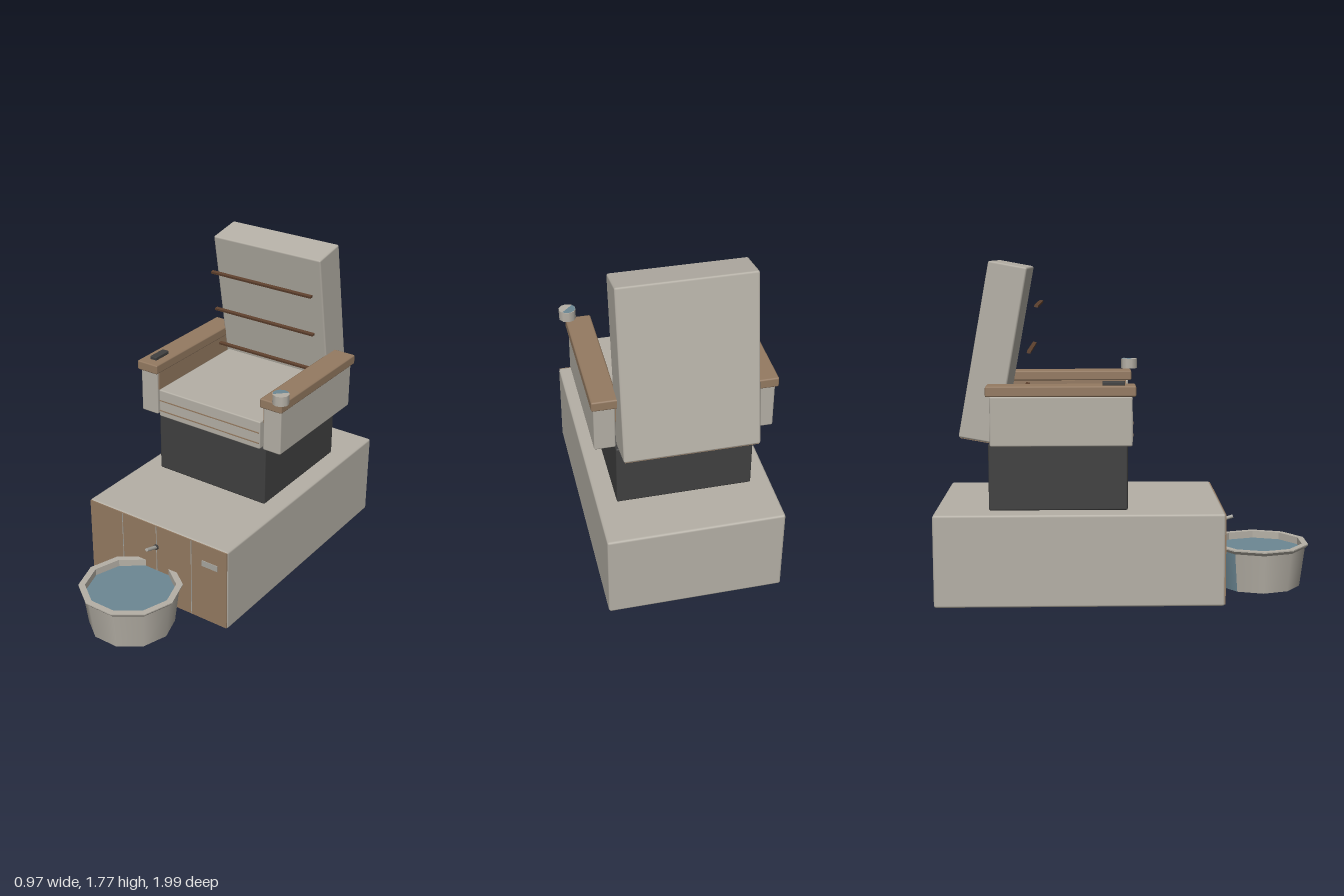
import * as THREE from 'three';
import { RoundedBoxGeometry } from 'three/addons/geometries/RoundedBoxGeometry.js';

const mat = (name, color, side = THREE.FrontSide) => {
  const m = new THREE.MeshStandardMaterial({ color, side });
  m.name = name;
  return m;
};

export function createModel() {
  const model = new THREE.Group();
  model.name = 'pedicureChair';
  const cream = mat('cream', 0xb5b0a6);
  const wood = mat('wood', 0x947a61);
  const dark = mat('charcoal', 0x404040);
  const strapBrown = mat('darkBrown', 0x5e412e);
  const water = mat('waterBlue', 0x6c8793);
  const metal = mat('metal', 0xa8a69f);
  // The basin is an open shell
  cream.side = water.side = THREE.DoubleSide;

  const CX = -0.02; // centre line of the chair
  const add = (name, geo, material, x, y, z, parent = model) => {
    const m = new THREE.Mesh(geo, material);
    m.name = name;
    m.position.set(x, y, z);
    parent.add(m);
    return m;
  };
  // Boxes given by their limits; bevel 0 gives a plain box
  const box = (name, material, [x0, x1], [y0, y1], [z0, z1], bevel = 0.008) => {
    const s = [x1 - x0, y1 - y0, z1 - z0];
    const geo = bevel ? new RoundedBoxGeometry(...s, 1, bevel) : new THREE.BoxGeometry(...s);
    return add(name, geo, material, (x0 + x1) / 2, (y0 + y1) / 2, (z0 + z1) / 2);
  };

  // Base cabinet with its wooden front
  box('base', cream, [-0.48, 0.44], [0, 0.485], [-1, 0.5], 0.012);
  box('baseFront', wood, [-0.476, 0.436], [0.008, 0.48], [0.496, 0.503], 0);
  for (const x of [-0.25, CX, 0.21])
    box('panelSeam', metal, [x - 0.002, x + 0.002], [0.01, 0.478], [0.5, 0.505], 0);
  box('frontPlate', metal, [0.28, 0.38], [0.348, 0.382], [0.5, 0.507], 0);

  // Faucet over the basin
  const spout = add('faucet', new THREE.CylinderGeometry(0.01, 0.01, 0.09, 8), metal, CX, 0.362, 0.545);
  spout.rotation.x = Math.PI / 2 - 0.3;
  const knob = add('faucetMount', new THREE.CylinderGeometry(0.015, 0.015, 0.014, 10), dark, CX, 0.35, 0.506);
  knob.rotation.x = Math.PI / 2;

  // Pedestal and seat cushion
  box('pedestal', dark, [-0.375, 0.335], [0.488, 0.836], [-0.718, 0]);
  box('seat', cream, [-0.355, 0.315], [0.836, 1.0], [-0.7, 0.028]);
  for (const y of [0.873, 0.935])
    box('seatPiping', wood, [-0.35, 0.31], [y - 0.003, y + 0.003], [0.025, 0.031], 0);

  // Arms with wooden caps and inner panels
  for (const s of [-1, 1]) {
    const span = (a, b) => [CX + s * a, CX + s * b].sort((p, q) => p - q);
    box('arm', cream, span(0.35, 0.46), [0.838, 1.092], [-0.7, 0.022]);
    box('armCap', wood, span(0.337, 0.472), [1.092, 1.146], [-0.72, 0.04]);
    box('armInnerPanel', wood, span(0.343, 0.35), [0.99, 1.092], [-0.69, 0.01], 0);
  }

  // Remote on the right arm, cup on the left arm
  box('remote', dark, [-0.445, -0.402], [1.144, 1.164], [-0.13, -0.015], 0.004);
  add('cup', new THREE.CylinderGeometry(0.045, 0.045, 0.055, 10), cream, 0.44, 1.178, 0.03);
  const drink = add('cupWater', new THREE.CircleGeometry(0.043, 6, Math.PI / 4, Math.PI), water, 0.44, 1.207, 0.03);
  drink.rotation.x = -Math.PI / 2;

  // Tilted backrest with wooden underside
  const back = new THREE.Group();
  back.name = 'backrest';
  back.position.set(CX, 1.302, -0.688);
  back.rotation.x = 0.183;
  model.add(back);
  add('backCushion', new RoundedBoxGeometry(0.69, 0.915, 0.2, 1, 0.01), cream, 0, 0, 0, back);
  add('backUnderside', new THREE.BoxGeometry(0.675, 0.006, 0.185), wood, 0, -0.457, 0, back);

  // Cross slats in front of the backrest
  [[1.54, -0.465], [1.306, -0.505], [1.077, -0.546]].forEach(([y, z]) => {
    const slat = add('backSlat', new THREE.BoxGeometry(0.65, 0.012, 0.02), strapBrown, CX, y, z);
    slat.rotation.x = 0.183;
  });

  // Foot basin: ten-sided open shell, blue towards the cabinet
  const basin = new THREE.Group();
  basin.name = 'footBasin';
  basin.position.set(CX, 0, 0.73);
  model.add(basin);
  const step = Math.PI / 5;
  const wall = (name, material, first, count) => add(name,
    new THREE.CylinderGeometry(0.258, 0.23, 0.22, count, 1, true, Math.PI / 2 + first * step, count * step),
    material, 0, 0.11, 0, basin);
  wall('basinRearWall', water, 1, 3);
  wall('basinWall', cream, 4, 7);
  const rimProfile = [[0.24, 0.19], [0.24, 0.236], [0.275, 0.236], [0.275, 0.23], [0.258, 0.212]]
    .reverse().map(([r, y]) => new THREE.Vector2(r, y));
  const rimGeo = new THREE.LatheGeometry(rimProfile, 10, Math.PI / 2).toNonIndexed();
  rimGeo.computeVertexNormals();
  add('basinRim', rimGeo, cream, 0, 0, 0, basin);
  const surface = add('basinWater', new THREE.CircleGeometry(0.245, 10), water, 0, 0.197, 0, basin);
  surface.rotation.x = -Math.PI / 2;

  return model;
}
